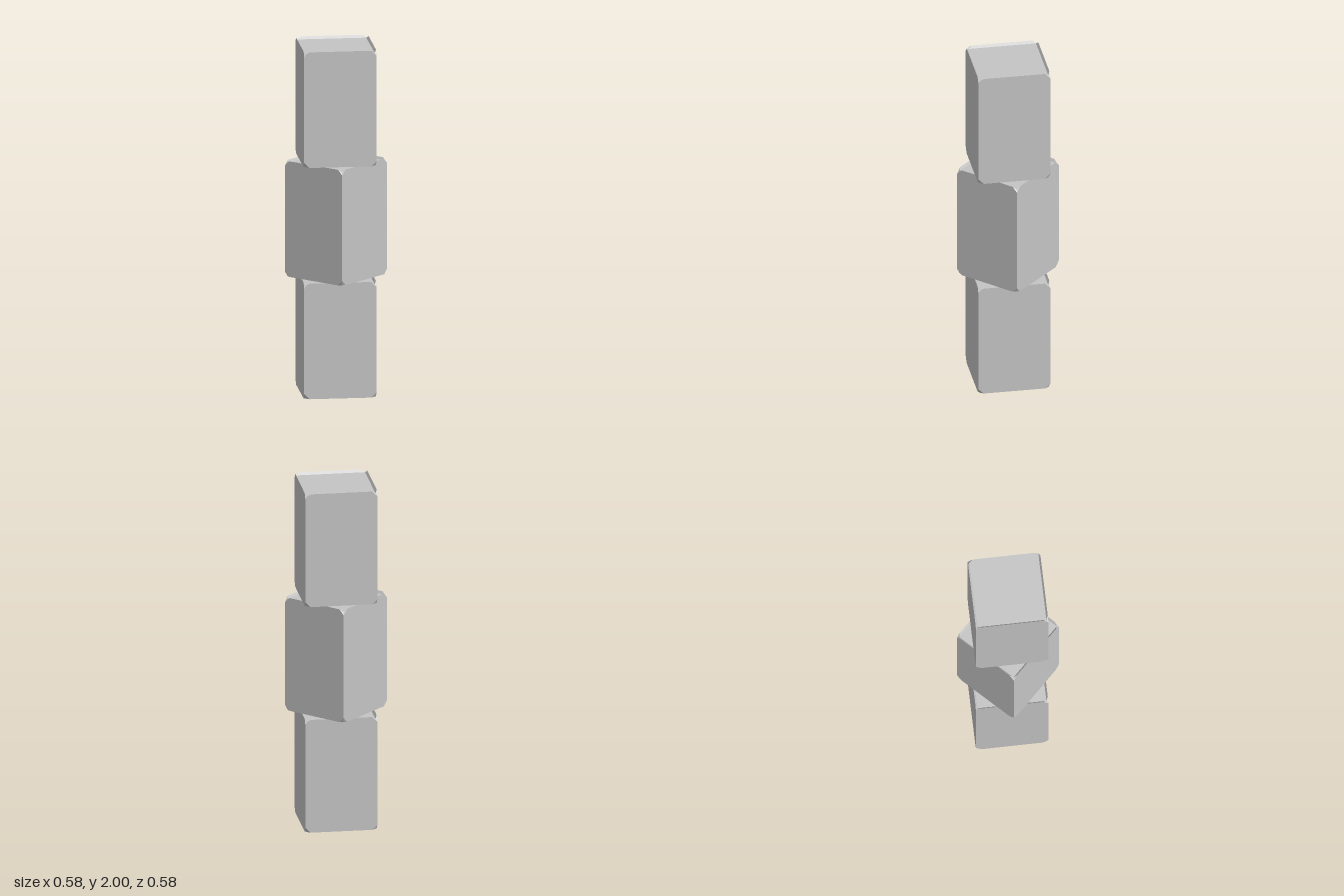
import * as THREE from 'three';

const H = 2 / 3;       // block height
const S = 0.205;       // half width
const A = 0.175;       // half length of a rim, between the clipped corners
const C = 0.03;        // height of a clipped corner
const I = 0.195;       // half width of the cap inside the rim
const TOP = H - 0.015; // sunken top cap
const BASE = 0.002;    // underside cap

// Polygons of one side of a block; the other three are turned copies
const side = [
  // wall with clipped corners
  [[-S, C, S], [-A, 0, S], [A, 0, S], [S, C, S], [S, H - C, S], [A, H, S], [-A, H, S], [-S, H - C, S]],
  // top rim, its corner pieces and a quarter of the cap
  [[-A, H, S], [A, H, S], [I, TOP, I], [-I, TOP, I]],
  [[A, H, S], [S, H - C, S], [I, TOP, I]],
  [[-S, H - C, S], [-A, H, S], [-I, TOP, I]],
  [[0, TOP, 0], [-I, TOP, I], [I, TOP, I]],
  // underside rim, its corner pieces and a quarter of the cap
  [[-I, BASE, I], [I, BASE, I], [A, 0, S], [-A, 0, S]],
  [[I, BASE, I], [S, C, S], [A, 0, S]],
  [[-I, BASE, I], [-A, 0, S], [-S, C, S]],
  [[0, BASE, 0], [I, BASE, I], [-I, BASE, I]],
];

function blockGeometry() {
  const positions = [];
  const up = new THREE.Vector3(0, 1, 0);
  for (let k = 0; k < 4; k++) {
    for (const polygon of side) {
      const p = polygon.map((v) => new THREE.Vector3(...v).applyAxisAngle(up, (k * Math.PI) / 2));
      for (let j = 1; j < p.length - 1; j++) {
        for (const v of [p[0], p[j], p[j + 1]]) positions.push(v.x, v.y, v.z);
      }
    }
  }
  const geometry = new THREE.BufferGeometry();
  geometry.setAttribute('position', new THREE.Float32BufferAttribute(positions, 3));
  geometry.computeVertexNormals();
  return geometry;
}

export function createModel() {
  const group = new THREE.Group();
  group.name = 'stackedColumn';
  const stone = new THREE.MeshStandardMaterial({ color: 0xc4c4c4 });
  stone.name = 'lightGrey';
  const geometry = blockGeometry();

  // Three equal blocks, each turned an eighth against the one below
  ['lowerBlock', 'middleBlock', 'upperBlock'].forEach((name, level) => {
    const block = new THREE.Mesh(geometry, stone);
    block.name = name;
    block.position.y = level * H;
    block.rotation.y = ((level - 1) * Math.PI) / 4;
    group.add(block);
  });
  return group;
}
